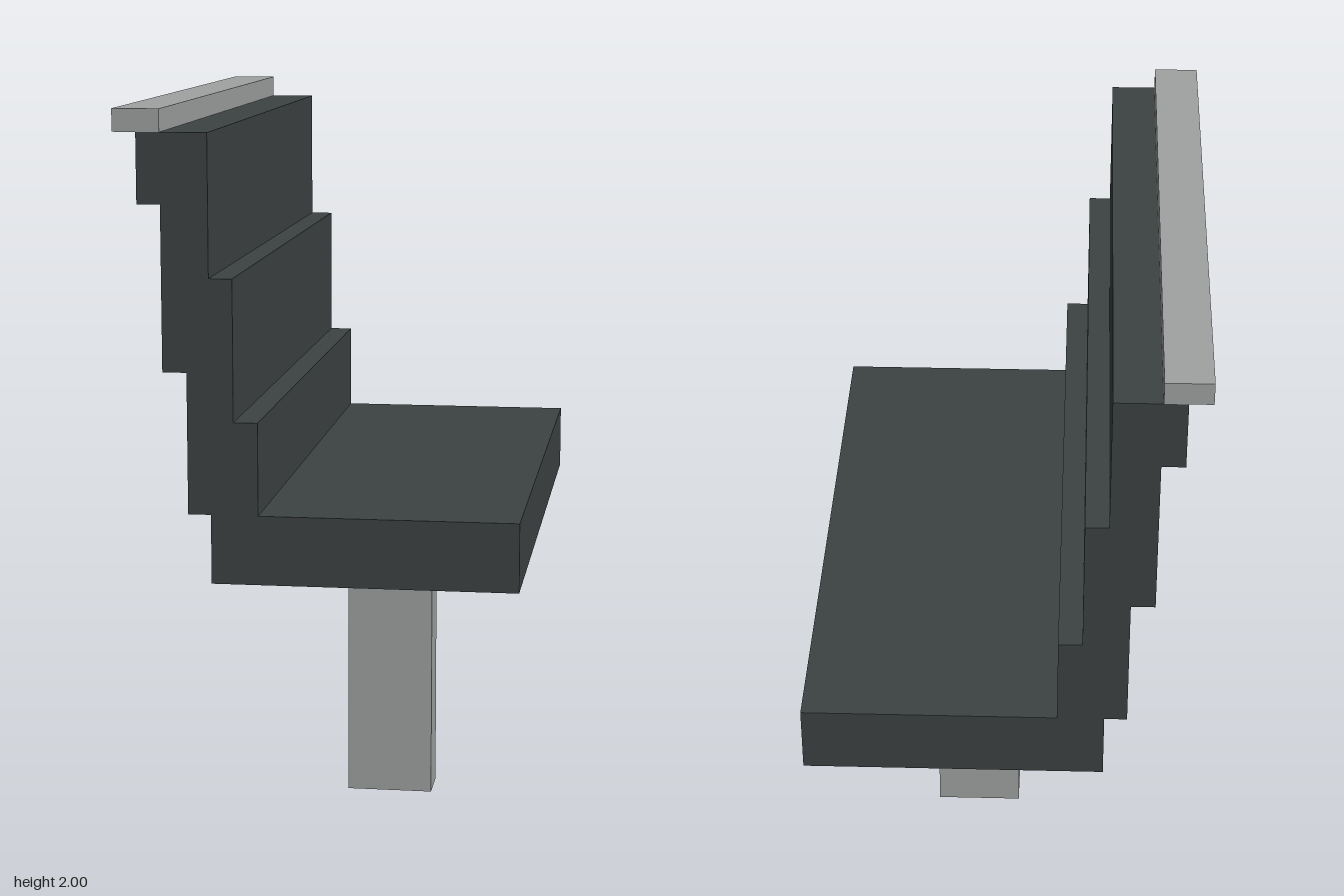
import * as THREE from 'three';

export function createModel() {
  const group = new THREE.Group();
  const dark = new THREE.MeshStandardMaterial({ color: 0x3d4242 });
  dark.name = 'dark grey';
  const light = new THREE.MeshStandardMaterial({ color: 0xa0a3a2 });
  light.name = 'light grey';

  const length = 1.7;

  // Box given by its x and y ranges and its depth, centred on z = 0
  function box(name, x0, x1, y0, y1, depth, material) {
    const mesh = new THREE.Mesh(new THREE.BoxGeometry(x1 - x0, y1 - y0, depth), material);
    mesh.position.set((x0 + x1) / 2, (y0 + y1) / 2, 0);
    mesh.name = name;
    group.add(mesh);
  }

  // Seat and stepped backrest share one side profile
  const profile = [
    [-0.275, 0.793], [0.513, 0.793], [0.513, 0.973], [-0.153, 0.973],
    [-0.153, 1.213], [-0.215, 1.213], [-0.215, 1.578], [-0.275, 1.578],
    [-0.275, 1.942], [-0.456, 1.942], [-0.456, 1.762], [-0.396, 1.762],
    [-0.396, 1.338], [-0.334, 1.338], [-0.334, 0.973], [-0.275, 0.973],
  ].map(([x, y]) => new THREE.Vector2(x, y));
  const geometry = new THREE.ExtrudeGeometry(new THREE.Shape(profile), {
    depth: length, bevelEnabled: false,
  });
  geometry.translate(0, 0, -length / 2);
  const seat = new THREE.Mesh(geometry, dark);
  seat.name = 'seatAndBackrest';
  group.add(seat);

  // Support post and top rail
  box('post', -0.033, 0.207, 0, 0.793, 0.122, light);
  box('topRail', -0.516, -0.396, 1.942, 2, length, light);

  return group;
}
